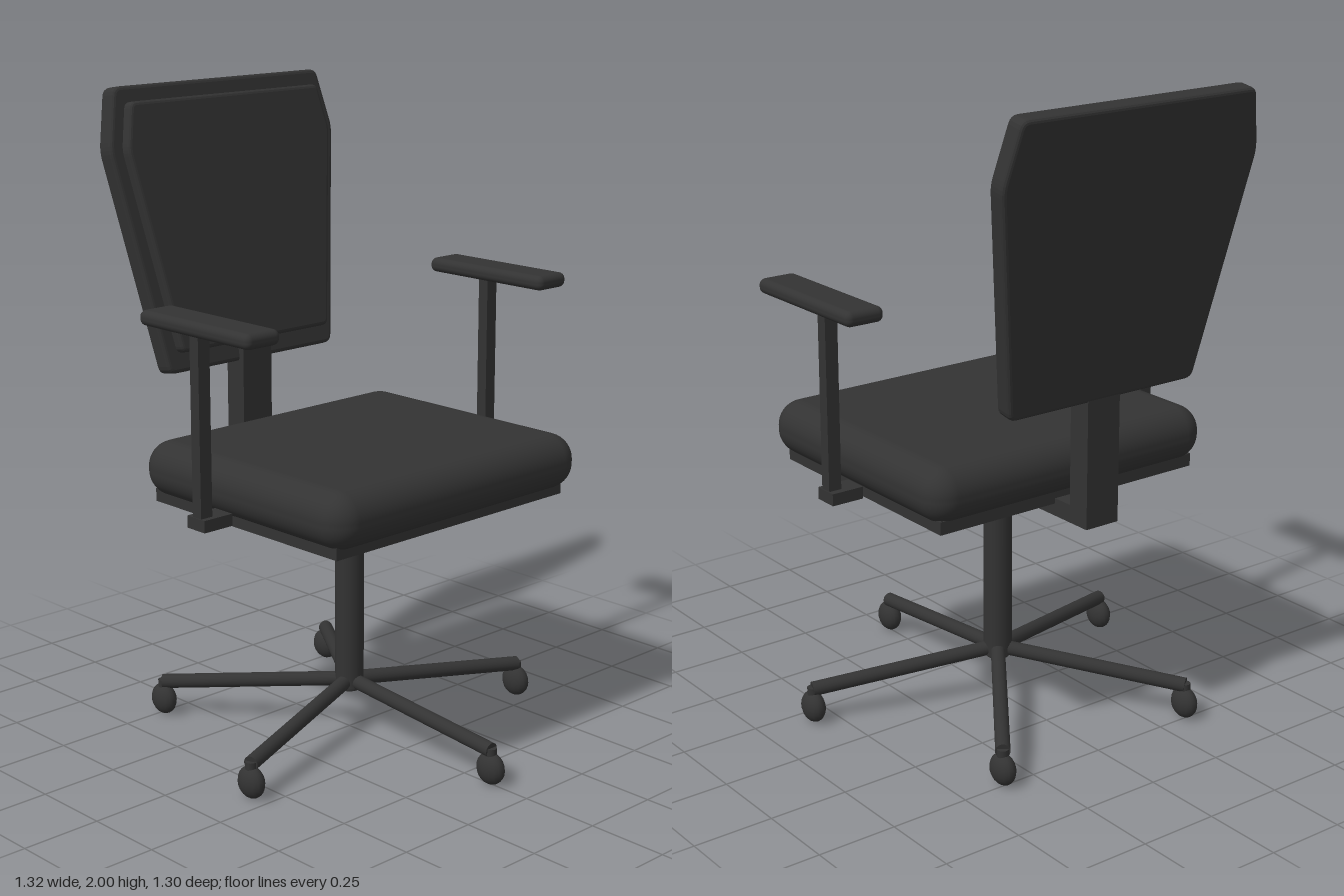
import * as THREE from 'three';
import { RoundedBoxGeometry } from 'three/addons/geometries/RoundedBoxGeometry.js';

const black = new THREE.MeshStandardMaterial({ color: 0x333333 });
black.name = 'charcoal';

function add(parent, name, geometry, x = 0, y = 0, z = 0) {
  const mesh = new THREE.Mesh(geometry, black);
  mesh.name = name;
  mesh.position.set(x, y, z);
  parent.add(mesh);
  return mesh;
}

const box = (w, h, d) => new THREE.BoxGeometry(w, h, d);
const rounded = (w, h, d, r, s = 4) => new RoundedBoxGeometry(w, h, d, s, r);

// Symmetric panel from its right-hand outline, with softened corners and edges
function panel(half, depth, corner, bevel) {
  const pts = [...half, ...half.map(([x, y]) => [-x, y]).reverse()].map(([x, y]) => new THREE.Vector2(x, y));
  const shape = new THREE.Shape();
  pts.forEach((p, i) => {
    const towards = (q) => p.clone().add(q.clone().sub(p).setLength(corner));
    const a = towards(pts[(i + pts.length - 1) % pts.length]);
    const b = towards(pts[(i + 1) % pts.length]);
    if (i === 0) shape.moveTo(a.x, a.y);
    else shape.lineTo(a.x, a.y);
    shape.quadraticCurveTo(p.x, p.y, b.x, b.y);
  });
  shape.closePath();
  return new THREE.ExtrudeGeometry(shape, {
    depth: depth - 2 * bevel, bevelThickness: bevel, bevelSize: bevel,
    bevelOffset: -bevel, bevelSegments: 3, curveSegments: 4,
  }).translate(0, 0, bevel);
}

// Straight round bar between two points
function bar(parent, name, from, to, radius) {
  const dir = to.clone().sub(from);
  const mesh = add(parent, name, new THREE.CylinderGeometry(radius, radius, dir.length(), 16));
  mesh.position.copy(from).add(to).multiplyScalar(0.5);
  mesh.quaternion.setFromUnitVectors(new THREE.Vector3(0, 1, 0), dir.normalize());
}

export function createModel() {
  const chair = new THREE.Group();
  chair.name = 'officeChair';

  // Seat, pan and tilt mechanism
  add(chair, 'seatCushion', rounded(1.03, 0.172, 0.885, 0.08, 6), 0, 0.876, 0.054);
  add(chair, 'seatPan', box(0.95, 0.04, 0.8), 0, 0.788, 0.045);
  add(chair, 'tiltMechanism', rounded(0.48, 0.065, 0.44, 0.012, 2), 0, 0.742, 0.014);

  // L-shaped back support
  add(chair, 'backSupportFoot', box(0.118, 0.055, 0.255), 0, 0.757, -0.3725);
  add(chair, 'backSupportUpright', box(0.118, 0.46, 0.077), 0, 0.96, -0.4615);

  // Reclined backrest
  const back = new THREE.Group();
  back.name = 'backrest';
  back.position.set(0, 1.115, -0.5);
  back.rotation.x = -0.17;
  chair.add(back);
  add(back, 'backShell', panel([[0.34, 0], [0.457, 0.7], [0.415, 0.888]], 0.062, 0.025, 0.012));
  add(back, 'backCushion', panel([[0.305, 0.062], [0.413, 0.695], [0.382, 0.838]], 0.045, 0.02, 0.012), 0, 0, 0.05);

  // Armrests
  for (const side of [-1, 1]) {
    const arm = new THREE.Group();
    arm.name = side > 0 ? 'leftArmrest' : 'rightArmrest';
    chair.add(arm);
    add(arm, 'armFoot', box(0.105, 0.037, 0.077), side * 0.57, 0.809, 0.012);
    add(arm, 'armPost', box(0.042, 0.6, 0.037), side * 0.599, 1.09, 0.014);
    add(arm, 'armPad', rounded(0.126, 0.046, 0.477, 0.02), side * 0.598, 1.392, 0.053);
  }

  // Column and five-legged base with castors
  add(chair, 'gasColumn', new THREE.CylinderGeometry(0.045, 0.045, 0.58, 24), 0, 0.43, 0);
  add(chair, 'baseHub', new THREE.CylinderGeometry(0.045, 0.035, 0.05, 24), 0, 0.155, 0);
  for (let i = 0; i < 5; i++) {
    const a = Math.PI / 2 + (i * 2 * Math.PI) / 5;
    const at = (r, y) => new THREE.Vector3(Math.cos(a) * r, y, Math.sin(a) * r);
    bar(chair, 'baseLeg', at(0, 0.162), at(0.608, 0.108), 0.023);
    bar(chair, 'castorStem', at(0.606, 0.06), at(0.606, 0.115), 0.018);
    const w = at(0.606, 0.05);
    add(chair, 'castorWheel', new THREE.SphereGeometry(0.05, 16, 12), w.x, w.y, w.z).scale.x = 0.65;
  }
  return chair;
}
